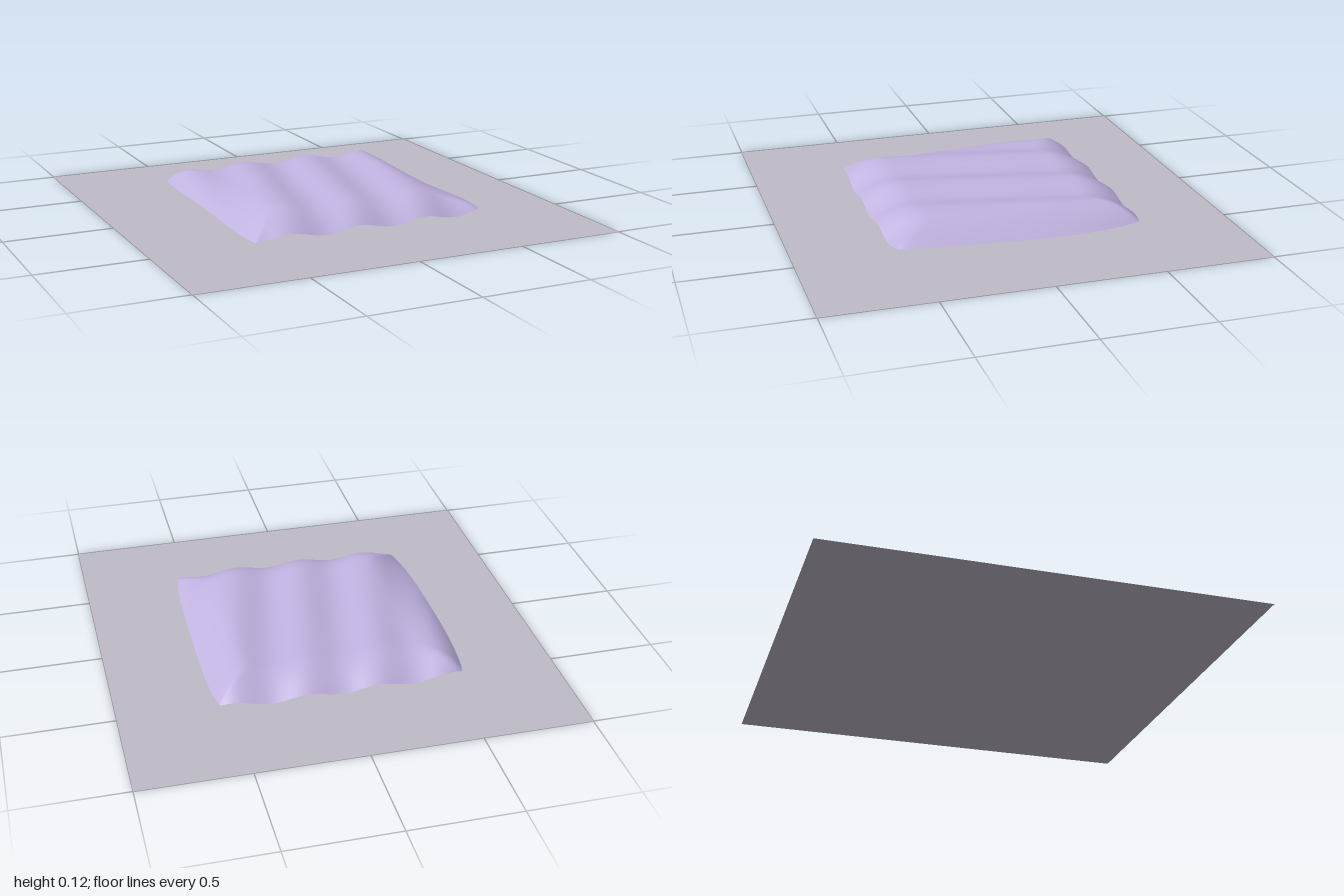
import * as THREE from 'three';

const HALF = 0.58;        // half width of the cushion
const RIM = 0.2;          // width of the rounded border
const PERIOD = 0.325;     // distance between folds

// Height of the cloth: rounded border plus slanted folds.
function clothHeight(x, z, edgeDistance) {
  const t = Math.min(edgeDistance / RIM, 1);
  const swell = 1 - (1 - t) ** 2;
  const fold = Math.cos((2 * Math.PI * (x + 0.2 * z - 0.05)) / PERIOD);
  return 0.039 + 0.074 * swell + 0.0115 * fold;
}

function clothGeometry() {
  const geometry = new THREE.PlaneGeometry(2, 2, 64, 64).rotateX(-Math.PI / 2);
  const p = geometry.attributes.position;
  for (let i = 0; i < p.count; i++) {
    const u = p.getX(i), v = p.getZ(i);
    // Sides bow gently outward between the corners.
    const x = HALF * u * (1 - 0.045 * v ** 4);
    const z = HALF * v * (1 - 0.04 * u ** 4);
    const edge = HALF * (1 - Math.max(Math.abs(u), Math.abs(v)));
    p.setXYZ(i, x, clothHeight(x, z, edge), z);
  }
  geometry.computeVertexNormals();
  return geometry;
}

export function createModel() {
  const group = new THREE.Group();
  const lavender = new THREE.MeshStandardMaterial({ color: 0xc0b2e0, side: THREE.DoubleSide });
  lavender.name = 'lavender cloth';
  const grey = new THREE.MeshStandardMaterial({ color: 0xbfbbc7, side: THREE.DoubleSide });
  grey.name = 'grey floor';

  // Flat square floor
  const floor = new THREE.Mesh(new THREE.PlaneGeometry(2, 2).rotateX(-Math.PI / 2), grey);
  floor.name = 'floor';

  // Rippled sheet, open underneath
  const cloth = new THREE.Mesh(clothGeometry(), lavender);
  cloth.name = 'cloth';

  group.add(floor, cloth);
  return group;
}
